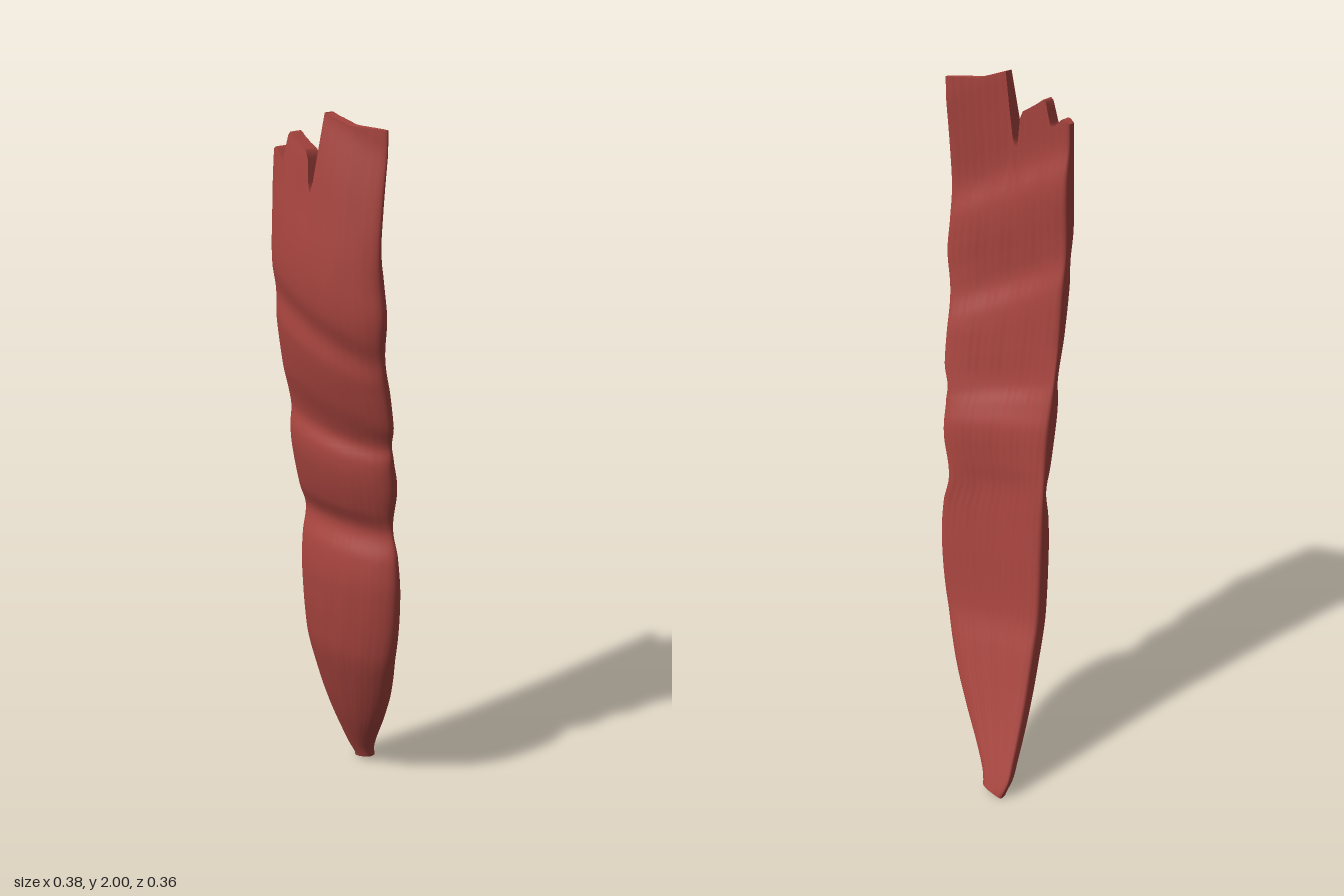
import * as THREE from 'three';

// Smooth interpolation through rows of [key, value, value...]
function sample(rows, y, col) {
  let i = 0;
  while (i < rows.length - 2 && y > rows[i + 1][0]) i++;
  const slope = (j) => {
    const a = rows[Math.max(0, j - 1)], b = rows[Math.min(rows.length - 1, j + 1)];
    return (b[col] - a[col]) / (b[0] - a[0]);
  };
  const p = rows[i], q = rows[i + 1], d = q[0] - p[0];
  const t = THREE.MathUtils.clamp((y - p[0]) / d, 0, 1), t2 = t * t, t3 = t2 * t;
  return (2 * t3 - 3 * t2 + 1) * p[col] + (t3 - 2 * t2 + t) * d * slope(i)
    + (3 * t2 - 2 * t3) * q[col] + (t3 - t2) * d * slope(i + 1);
}

function linear(rows, x) {
  let i = 0;
  while (i < rows.length - 2 && x > rows[i + 1][0]) i++;
  const t = THREE.MathUtils.clamp((x - rows[i][0]) / (rows[i + 1][0] - rows[i][0]), 0, 1);
  return rows[i][1] + t * (rows[i + 1][1] - rows[i][1]);
}

// Height, left edge x, right edge x
const outline = [
  [0, -0.175, -0.11], [0.05, -0.19, -0.097], [0.1, -0.191, -0.07], [0.215, -0.19, 0],
  [0.35, -0.186, 0.065], [0.52, -0.18, 0.12], [0.69, -0.172, 0.142], [0.8, -0.168, 0.138],
  [0.88, -0.167, 0.12], [1, -0.165, 0.143], [1.1, -0.165, 0.146], [1.14, -0.165, 0.145],
  [1.2, -0.165, 0.163], [1.38, -0.168, 0.17], [1.5, -0.17, 0.187], [1.6, -0.171, 0.181],
  [2, -0.172, 0.184],
];

// Height, front z, back z: swells between the twisted creases
const depth = [
  [0, -0.14, -0.18], [0.2, -0.042, -0.112], [0.4, 0.032, -0.056], [0.5, 0.058, -0.029],
  [0.7, 0.078, -0.008], [0.8, 0.072, 0.004], [0.88, 0.052, 0.014], [0.95, 0.08, 0.013],
  [1.05, 0.105, 0.018], [1.11, 0.108, 0.036], [1.16, 0.096, 0.054], [1.27, 0.132, 0.066],
  [1.38, 0.157, 0.08], [1.45, 0.156, 0.098], [1.52, 0.174, 0.099], [1.6, 0.179, 0.097],
  [1.68, 0.174, 0.1], [1.75, 0.165, 0.114], [1.88, 0.15, 0.11], [2, 0.13, 0.104],
];

// Height, slope of z across the width
const twist = [
  [0, 0], [0.3, -0.11], [0.7, -0.16], [0.9, -0.17], [1.1, -0.21],
  [1.3, -0.21], [1.5, -0.13], [1.7, -0.07], [2, -0.07],
];

// Torn upper edge: x, height
const tornEdge = [
  [-0.172, 1.89], [-0.15, 1.9], [-0.118, 1.87], [-0.1, 1.945], [-0.07, 1.925],
  [-0.027, 1.9], [-0.018, 1.83], [-0.009, 1.8], [0.002, 1.85], [0.012, 2], [0.09, 1.975], [0.184, 1.97],
];

const AROUND = 144, ROWS = 150;

function surfacePoint(row, k) {
  const t = row / ROWS, a = (k / AROUND) * Math.PI * 2;
  const s = Math.cos(a), side = Math.sin(a);
  const topX = 0.006 + 0.178 * s;
  const tear = THREE.MathUtils.smoothstep(t, 0.86, 1);
  const tilt = 0.02 * (s + 1) / 2 * (1 - THREE.MathUtils.smoothstep(t, 0, 0.08));
  const y = t * 1.78 + (linear(tornEdge, topX) - 1.78) * tear + tilt;
  const l = sample(outline, y, 1), r = sample(outline, y, 2);
  const mid = (l + r) / 2, half = (r - l) / 2;
  const x = mid + half * s;
  // creases run downhill toward the model's left
  const shear = 0.08 + 0.4 * THREE.MathUtils.smoothstep(y, 0.93, 1.47);
  const yy = THREE.MathUtils.clamp(y + shear * x, 0, 2);
  const f = sample(depth, yy, 1), b = sample(depth, yy, 2);
  // blunt edge on one side, thinner rounded edge on the other
  const round = Math.sign(side) * Math.pow(Math.abs(side), 0.55 + 0.15 * s);
  const wide = half / 0.175;
  // fine lengthwise fibres, stronger on the back
  const fibre = Math.sin(s * 31 + Math.sin(y * 5) * 1.5) * Math.sin(s * 17 + y * 4)
    * (side < 0 ? 0.0017 : 0.0008) * Math.abs(side) * wide;
  const z = (f + b) / 2 + (f - b) / 2 * round
    + linear(twist, y) * half * s - 0.023 * wide * s * s + fibre;
  return [x, y, z];
}

function makeGeometry(positions, index) {
  const g = new THREE.BufferGeometry();
  g.setAttribute('position', new THREE.Float32BufferAttribute(positions, 3));
  g.setIndex(index);
  g.computeVertexNormals();
  return g;
}

// Closed side wall of the strip
function stripGeometry() {
  const pos = [], idx = [];
  for (let j = 0; j <= ROWS; j++) {
    for (let k = 0; k < AROUND; k++) pos.push(...surfacePoint(j, k));
  }
  for (let j = 0; j < ROWS; j++) {
    for (let k = 0; k < AROUND; k++) {
      const a = j * AROUND + k, b = j * AROUND + (k + 1) % AROUND;
      idx.push(a, a + AROUND, b, b, a + AROUND, b + AROUND);
    }
  }
  return makeGeometry(pos, idx);
}

// End face bridging the front rim to the back rim
function endGeometry(row) {
  const pos = [], idx = [], half = AROUND / 2;
  for (let k = 0; k <= half; k++) {
    pos.push(...surfacePoint(row, k), ...surfacePoint(row, (AROUND - k) % AROUND));
  }
  for (let k = 0; k < half; k++) {
    const a = 2 * k;
    idx.push(a, a + 1, a + 2, a + 1, a + 3, a + 2);
  }
  return makeGeometry(pos, idx);
}

export function createModel() {
  const group = new THREE.Group();
  group.name = 'twistedStrip';
  const red = new THREE.MeshStandardMaterial({ color: 0xa9453f, side: THREE.DoubleSide });
  red.name = 'dull red';
  const add = (name, geometry) => {
    const mesh = new THREE.Mesh(geometry, red);
    mesh.name = name;
    group.add(mesh);
  };
  add('strip', stripGeometry());
  add('tornTopEnd', endGeometry(ROWS));
  add('bluntTip', endGeometry(0));
  return group;
}
